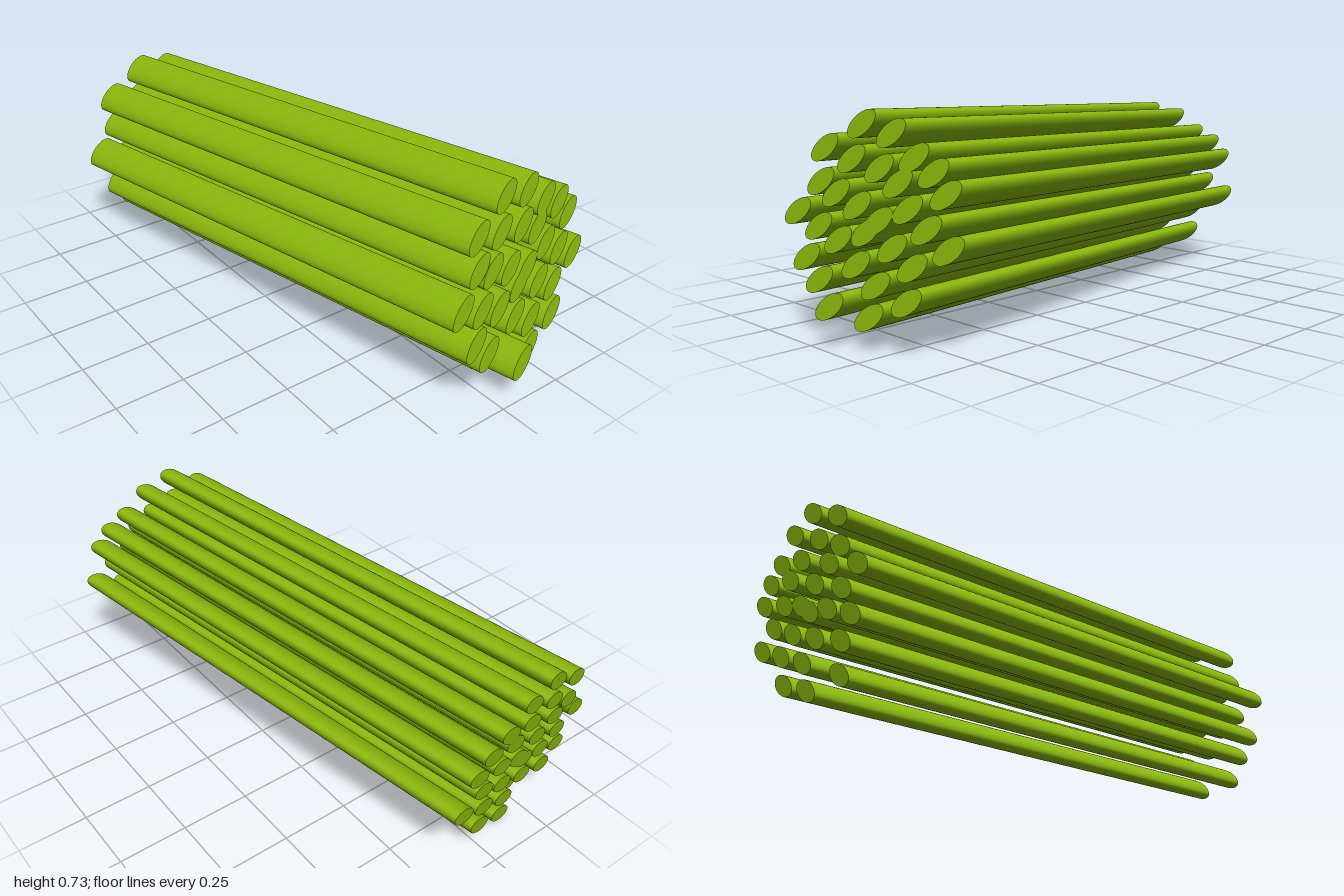
import * as THREE from 'three';

// Centre (x, y) of each stalk's front end, row by row from the top
const ENDS = [
  [0.087, 0.69], [0.21, 0.667],
  [-0.059, 0.61], [0.059, 0.582], [0.176, 0.56], [0.308, 0.6], [0.387, 0.56],
  [-0.062, 0.504], [0.008, 0.473], [0.101, 0.442], [0.255, 0.521], [0.44, 0.501],
  [-0.151, 0.403], [0.193, 0.403], [0.303, 0.448], [0.381, 0.395],
  [-0.053, 0.364], [0.036, 0.33], [0.146, 0.364], [0.258, 0.328], [0.47, 0.345],
  [-0.092, 0.263], [0.12, 0.263], [0.342, 0.28], [0.207, 0.21],
  [-0.028, 0.199], [0.087, 0.14], [0.193, 0.112], [0.333, 0.176],
];
const LOOSE = 26; // the one stalk pushed forward out of the bundle

// The cut ends lie in a slightly slanted plane
const slant = (x, y) => -0.18 * x - 0.147 * y;

export function createModel() {
  const bundle = new THREE.Group();
  bundle.name = 'stalkBundle';
  const material = new THREE.MeshStandardMaterial({ color: 0x8ab80c });

  // Oval stalk running back from its front end at the origin
  const axis = new THREE.Vector3(0.32, 0.064, 1.805);
  const angle = THREE.MathUtils.degToRad(36);
  const oval = (r, a) => {
    const x = r * Math.cos(a), y = r * Math.sin(a);
    return new THREE.Vector3(x, y, slant(x, y));
  };
  const stalk = new THREE.CylinderGeometry(1, 1, 1, 40);
  stalk.translate(0, -0.5, 0);
  stalk.applyMatrix4(new THREE.Matrix4().makeBasis(
    oval(0.064, angle), axis, oval(0.033, angle - Math.PI / 2)));

  ENDS.forEach(([x, y], i) => {
    const mesh = new THREE.Mesh(stalk, material);
    mesh.name = 'stalk' + (i + 1);
    const z = 0.954 + slant(x, y) + 0.014 + (i === LOOSE ? 0.054 : 0);
    mesh.position.set(x, y, z);
    bundle.add(mesh);
  });
  return bundle;
}
